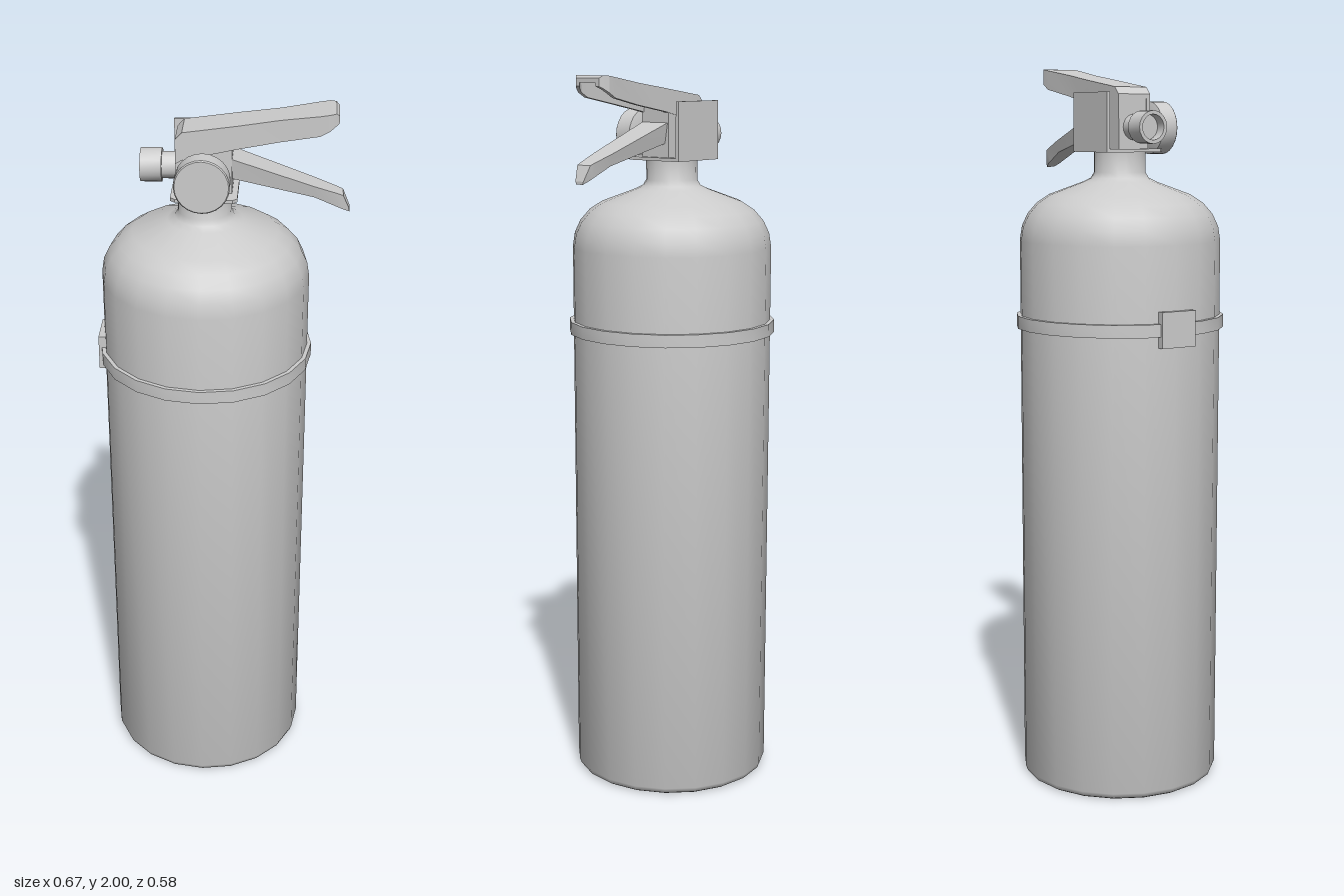
import * as THREE from 'three';
import { mergeVertices, toCreasedNormals } from 'three/addons/utils/BufferGeometryUtils.js';

const grey = new THREE.MeshStandardMaterial({ color: 0xcccccc });
const CX = -0.045; // axis of the cylinder

export function createModel() {
  const model = new THREE.Group();

  const add = (name, geometry, x = 0, y = 0, z = 0) => {
    const mesh = new THREE.Mesh(geometry, grey);
    mesh.name = name;
    mesh.position.set(x, y, z);
    model.add(mesh);
    return mesh;
  };

  // Turned part from [radius, height] pairs, bottom to top
  const turned = (profile, sides = 20) => toCreasedNormals(
    new THREE.LatheGeometry(profile.map(([r, y]) => new THREE.Vector2(r, y)), sides), 0.7);

  const box = (name, x0, x1, y0, y1, z0, z1) => add(name,
    new THREE.BoxGeometry(x1 - x0, y1 - y0, z1 - z0), (x0 + x1) / 2, (y0 + y1) / 2, (z0 + z1) / 2);

  // Lever lofted along x; section(top, bottom, halfWidth) gives [-z, y] counterclockwise
  const lever = (name, stations, section) => {
    const loops = stations.map(([, top, bottom, w]) => section(top, bottom, w));
    const n = loops[0].length;
    const positions = [];
    loops.forEach((loop, i) => loop.forEach(([u, y]) => positions.push(stations[i][0], y, -u)));
    const index = [];
    for (let i = 0; i < loops.length - 1; i++) {
      for (let j = 0; j < n; j++) {
        const a = i * n + j, b = i * n + (j + 1) % n;
        index.push(a, b, b + n, a, b + n, a + n);
      }
    }
    const capAt = (i) => THREE.ShapeUtils.triangulateShape(
      loops[i].map(([u, y]) => new THREE.Vector2(u, y)), []);
    const last = (loops.length - 1) * n;
    capAt(0).forEach(([a, b, c]) => index.push(a, c, b));
    capAt(loops.length - 1).forEach(([a, b, c]) => index.push(last + a, last + b, last + c));
    const geometry = new THREE.BufferGeometry();
    geometry.setAttribute('position', new THREE.Float32BufferAttribute(positions, 3));
    geometry.setIndex(index);
    add(name, toCreasedNormals(mergeVertices(geometry), 0.4));
  };

  // Pressure cylinder with domed shoulder and neck
  add('cylinder', turned([
    [0, 0], [0.265, 0], [0.273, 0.005], [0.278, 0.018], [0.278, 1.53], [0.272, 1.568], [0.256, 1.602],
    [0.23, 1.632], [0.195, 1.655], [0.1, 1.69], [0.08, 1.7], [0.071, 1.715], [0.071, 1.772], [0, 1.772],
  ]), CX);

  // Strap and its clasp
  add('strap', turned([[0.272, 1.29], [0.289, 1.29], [0.289, 1.325], [0.272, 1.325], [0.272, 1.29]]), CX);
  box('strapClasp', -0.334, -0.31, 1.26, 1.357, -0.05, 0.056);

  // Bracket: base plate with clipped front corners, upright plate behind
  const plate = new THREE.Shape([
    [-0.13, -0.09], [0.043, -0.09], [0.043, 0.078], [0.031, 0.09], [-0.118, 0.09], [-0.13, 0.078],
  ].map(([x, z]) => new THREE.Vector2(x, z)));
  const plateGeometry = new THREE.ExtrudeGeometry(plate, { depth: 0.009, bevelEnabled: false });
  plateGeometry.rotateX(Math.PI / 2);
  add('bracketBase', plateGeometry, 0, 1.779, 0);
  box('bracketBack', -0.13, 0.043, 1.77, 1.93, -0.095, -0.086);

  // Valve block
  box('valveBlock', -0.117, 0.028, 1.775, 1.925, -0.049, 0.045);

  // Pressure gauge facing forwards on a short stem
  const gauge = turned([
    [0, 0], [0.023, 0], [0.023, 0.045], [0.05, 0.047], [0.072, 0.054],
    [0.072, 0.101], [0.069, 0.104], [0, 0.104],
  ], 24);
  gauge.rotateX(Math.PI / 2);
  add('gauge', gauge, CX, 1.835, 0.04);

  // Hollow hose outlet pointing sideways
  const outlet = turned([
    [0, 0], [0.035, 0], [0.035, 0.045], [0.044, 0.045], [0.044, 0.101],
    [0.034, 0.101], [0.034, 0.07], [0, 0.07],
  ]);
  outlet.rotateZ(Math.PI / 2);
  add('hoseOutlet', outlet, -0.11, 1.837, 0);

  // Upper lever: channel open underneath; stations are [x, top, bottom, half width]
  const t = 0.012;
  lever('upperLever', [
    [-0.118, 1.925, 1.86, 0.051], [-0.1, 1.944, 1.87, 0.051], [0.04, 1.964, 1.902, 0.051],
    [0.15, 1.98, 1.922, 0.046], [0.25, 1.995, 1.942, 0.055], [0.275, 1.999, 1.956, 0.055],
    [0.29, 2.0, 1.967, 0.047], [0.298, 1.993, 1.972, 0.04],
  ], (top, bottom, w) => [
    [-w, bottom], [t - w, bottom], [t - w, top - t], [w - t, top - t],
    [w - t, bottom], [w, bottom], [w, top], [-w, top],
  ]);

  // Lower lever: tapering grip
  lever('lowerLever', [
    [0.0, 1.88, 1.82, 0.045], [0.026, 1.873, 1.817, 0.045], [0.24, 1.798, 1.766, 0.033],
    [0.3, 1.777, 1.738, 0.025], [0.315, 1.771, 1.731, 0.023], [0.333, 1.73, 1.722, 0.014],
  ], (top, bottom, w) => [[-w * 0.8, bottom], [w * 0.8, bottom], [w, top], [-w, top]]);

  return model;
}
